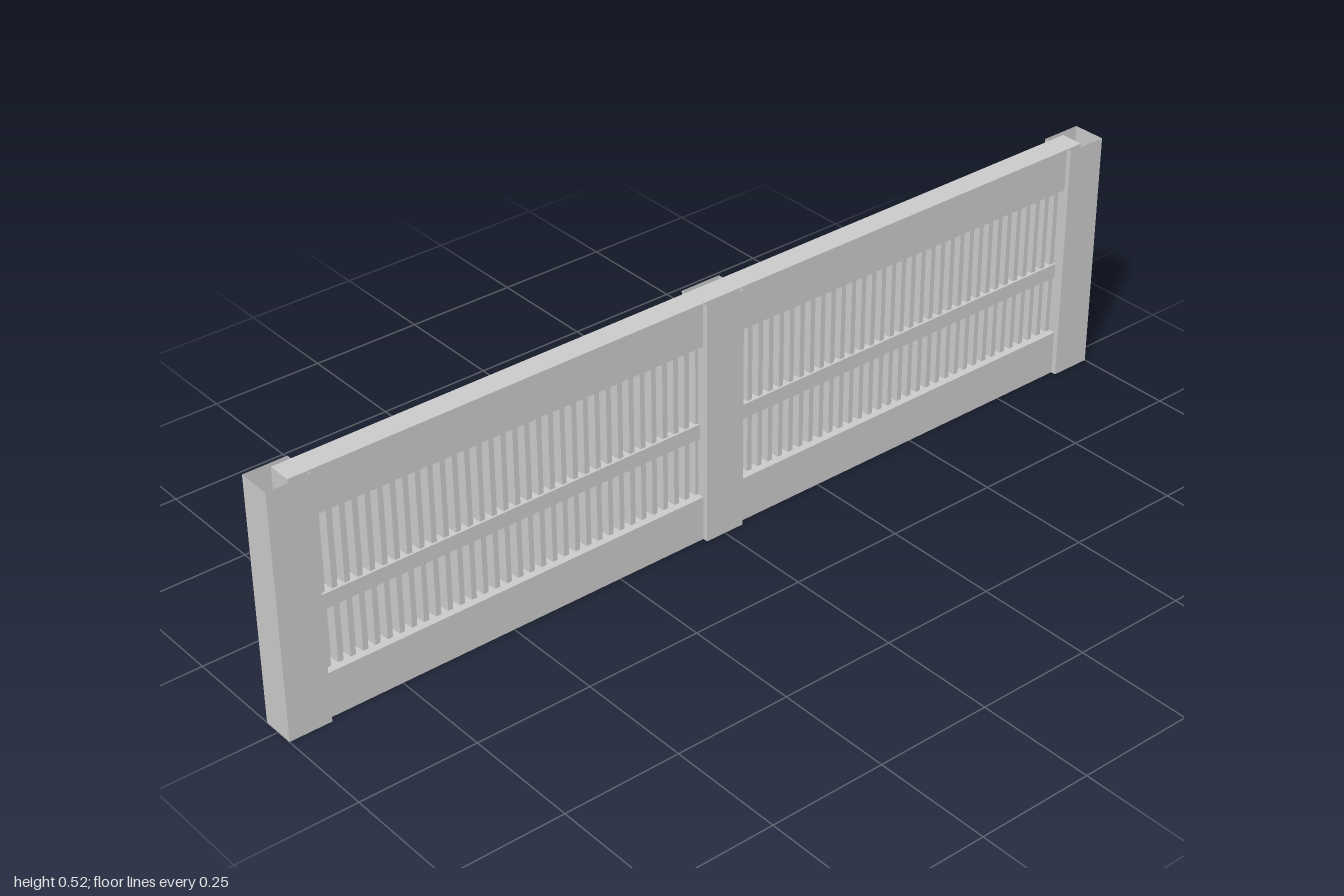
import * as THREE from 'three';

const material = new THREE.MeshStandardMaterial({ color: 0xcccccc, flatShading: true, side: THREE.DoubleSide });

const HEIGHT = 0.525;
const POST_W = 0.072; // along x
const POST_L = 0.09;  // along z

function add(parent, name, geometry, x, y, z) {
  const mesh = new THREE.Mesh(geometry, material);
  mesh.name = name;
  mesh.position.set(x, y, z);
  parent.add(mesh);
  return mesh;
}

// Hollow post: four thin walls, open at the top and bottom
function addPost(parent, name, z) {
  const post = new THREE.Group();
  post.name = name;
  post.position.z = z;
  for (const s of [-1, 1]) {
    const side = add(post, 'postSideWall', new THREE.PlaneGeometry(POST_L, HEIGHT), s * POST_W / 2, HEIGHT / 2, 0);
    side.rotation.y = s * Math.PI / 2;
    const end = add(post, 'postEndWall', new THREE.PlaneGeometry(POST_W, HEIGHT), 0, HEIGHT / 2, s * POST_L / 2);
    end.rotation.y = s > 0 ? 0 : Math.PI;
  }
  parent.add(post);
}

// Ribbed sheet: a plane in z and y, its columns folded into a steep wave in x
function ribbedSheet(length, height, ribs, depth) {
  const columns = ribs * 4;
  const geometry = new THREE.PlaneGeometry(length, height, columns, 1);
  const p = geometry.attributes.position;
  const step = length / ribs;
  for (let i = 0; i < p.count; i++) {
    const c = i % (columns + 1);
    const k = c % 4;
    const along = (Math.floor(c / 4) + [0, 0.42, 0.5, 0.92][k]) * step - length / 2;
    p.setXYZ(i, k < 2 ? depth : -depth, p.getY(i), -along);
  }
  geometry.computeVertexNormals();
  return geometry;
}

export function createModel() {
  const fence = new THREE.Group();
  fence.name = 'fence';

  // Posts
  addPost(fence, 'frontPost', 0.955);
  addPost(fence, 'middlePost', 0);
  addPost(fence, 'backPost', -0.955);

  // Two bays, each with three rails and a ribbed infill
  const rails = [
    ['bottomRail', 0, 0.097, 0.05],
    ['middleRail', 0.225, 0.257, 0.03],
    ['topRail', 0.432, HEIGHT, 0.05],
  ];
  for (const s of [-1, 1]) {
    const bay = new THREE.Group();
    bay.name = s > 0 ? 'frontBay' : 'backBay';
    bay.position.z = s * 0.475;
    for (const [name, y0, y1, thickness] of rails) {
      add(bay, name, new THREE.BoxGeometry(thickness, y1 - y0, 0.95), 0, (y0 + y1) / 2, 0);
    }
    add(bay, 'infillPanel', ribbedSheet(0.9, 0.36, 34, 0.01), 0, 0.265, 0);
    fence.add(bay);
  }
  return fence;
}
